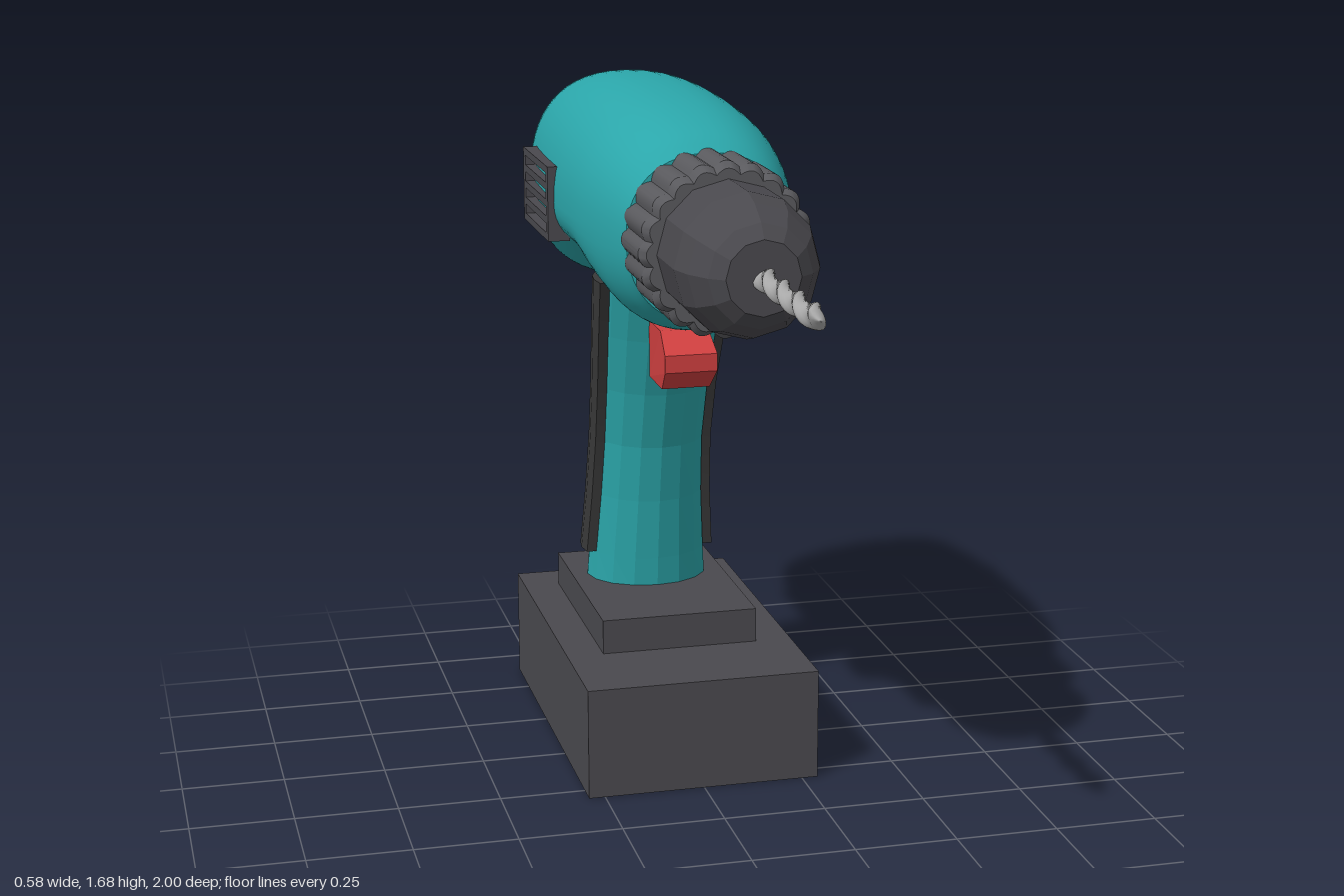
import * as THREE from 'three';
import { toCreasedNormals } from 'three/addons/utils/BufferGeometryUtils.js';

const TEAL = 0x2ba6aa, DARK = 0x4a494e, GRIP = 0x3a3a3a, RED = 0xd04040, STEEL = 0xa8a8a8;
const AXIS_Y = 1.385;

function part(name, geometry, color, flatShading = false) {
  const mesh = new THREE.Mesh(geometry, new THREE.MeshStandardMaterial({ color, flatShading }));
  mesh.name = name;
  return mesh;
}

function box(name, color, x0, x1, y0, y1, z0, z1) {
  const mesh = part(name, new THREE.BoxGeometry(x1 - x0, y1 - y0, z1 - z0), color);
  mesh.position.set((x0 + x1) / 2, (y0 + y1) / 2, (z0 + z1) / 2);
  return mesh;
}

// Skin over closed rings of points (counter-clockwise about the loft direction), with end caps
function loft(rings) {
  const n = rings[0].length, last = rings.length - 1;
  const pos = rings.flat().flatMap(p => p.toArray()), index = [];
  for (let i = 0; i < last; i++) for (let j = 0; j < n; j++) {
    const a = i * n + j, b = i * n + (j + 1) % n;
    index.push(a, b, a + n, b, b + n, a + n);
  }
  for (const end of [0, last]) {
    const start = pos.length / 3;
    const mid = new THREE.Vector3();
    rings[end].forEach(p => { mid.addScaledVector(p, 1 / n); pos.push(p.x, p.y, p.z); });
    pos.push(mid.x, mid.y, mid.z);
    for (let j = 0; j < n; j++) {
      const a = start + j, b = start + (j + 1) % n;
      end ? index.push(a, b, start + n) : index.push(b, a, start + n);
    }
  }
  const geo = new THREE.BufferGeometry();
  geo.setAttribute('position', new THREE.Float32BufferAttribute(pos, 3));
  geo.setIndex(index);
  geo.computeVertexNormals();
  return geo;
}

const ring = (n, fn) => Array.from({ length: n }, (_, j) => fn(j / n * Math.PI * 2));
const spline = pts => new THREE.CatmullRomCurve3(pts.map(p => new THREE.Vector3(...p)), false, 'catmullrom');

// Motor housing: z, top, bottom, half width, from back to front
function housing() {
  const s = [
    [-1.0, 1.595, 1.18, 0.175], [-0.985, 1.615, 1.158, 0.2], [-0.94, 1.633, 1.138, 0.222],
    [-0.82, 1.656, 1.121, 0.248], [-0.7, 1.669, 1.148, 0.26], [-0.6, 1.675, 1.195, 0.265],
    [-0.5, 1.677, 1.232, 0.268], [-0.38, 1.675, 1.24, 0.269], [-0.25, 1.668, 1.233, 0.265],
    [-0.15, 1.658, 1.178, 0.257], [-0.05, 1.64, 1.141, 0.24], [0.03, 1.615, 1.152, 0.218], [0.085, 1.58, 1.18, 0.195]
  ];
  const heights = spline(s.map(p => p.slice(0, 3)));
  const widths = spline(s.map(p => [p[3], 0, 0]));
  const power = v => Math.sign(v) * Math.abs(v) ** (2 / 2.25);
  const rows = 48, rings = [];
  for (let i = 0; i <= rows; i++) {
    const h = heights.getPoint(i / rows), w = widths.getPoint(i / rows).x;
    rings.push(ring(56, a => {
      const up = power(Math.sin(a));
      return new THREE.Vector3(w * power(Math.cos(a)), 1.39 + up * (up > 0 ? h.y - 1.39 : 1.39 - h.z), h.x);
    }));
  }
  return loft(rings);
}

// Handle sections: y, centre z, half width, half depth
const HANDLE = [
  [0.34, -0.586, 0.159, 0.136], [0.44, -0.581, 0.152, 0.142], [0.6, -0.56, 0.141, 0.142], [0.75, -0.532, 0.136, 0.142],
  [0.9, -0.488, 0.139, 0.147], [1.05, -0.432, 0.147, 0.153], [1.2, -0.368, 0.156, 0.163], [1.3, -0.33, 0.16, 0.17]
];

function handle() {
  return loft(HANDLE.map(([y, z, w, d]) =>
    ring(16, a => new THREE.Vector3(w * Math.sin(a), y, z + d * Math.cos(a)))));
}

// Rubber sleeve around the rear half of the handle
function grip() {
  const steps = 14, from = Math.PI * 0.42, sweep = Math.PI * 1.16;
  return toCreasedNormals(loft(HANDLE.slice(1, 7).map(([y, z, w, d]) =>
    Array.from({ length: steps + 1 }, (_, j) => {
      const a = from + sweep * j / steps;
      return new THREE.Vector3((w + 0.021) * Math.sin(a), y, z + (d + 0.033) * Math.cos(a));
    }))), 0.6);
}

// Scalloped clutch ring
function collar() {
  const rows = [[0.06, 0.195], [0.075, 0.205], [0.25, 0.205], [0.27, 0.19]];
  return toCreasedNormals(loft(rows.map(([z, r]) => ring(160, a => {
    const q = r - 0.014 * (1 - Math.abs(Math.cos(a * 10)));
    return new THREE.Vector3(q * Math.cos(a), q * Math.sin(a), z);
  }))), 0.5);
}

// Twisted bit with a pointed tip
function bit() {
  const rings = [];
  for (let i = 0; i <= 64; i++) {
    const z = 0.55 + 0.45 * i / 64, twist = (z - 0.55) * Math.PI / 0.115;
    const taper = Math.min(1, (1.002 - z) / 0.03);
    rings.push(ring(12, a => {
      const x = 0.028 * taper * Math.cos(a), y = 0.016 * taper * Math.sin(a);
      return new THREE.Vector3(x * Math.cos(twist) - y * Math.sin(twist), x * Math.sin(twist) + y * Math.cos(twist), z);
    }));
  }
  return loft(rings);
}

// Vent frame with four slots, drawn in the z-y plane and turned to face sideways
function vent() {
  const rect = (P, x0, x1, y0, y1) => {
    const p = new P();
    p.moveTo(x0, y0).lineTo(x1, y0).lineTo(x1, y1).lineTo(x0, y1).closePath();
    return p;
  };
  const shape = rect(THREE.Shape, -0.162, 0.162, -0.093, 0.093);
  for (let i = 0; i < 4; i++) {
    const y = -0.063 + i * 0.042;
    shape.holes.push(rect(THREE.Path, -0.135, 0.135, y - 0.012, y + 0.012));
  }
  return new THREE.ExtrudeGeometry(shape, { depth: 0.055, bevelEnabled: false });
}

function trigger() {
  const pts = [[0.27, 0.97], [0.27, 1.112], [0.15, 1.112], [0.08, 1.065], [0.08, 1.022], [0.135, 0.97]];
  const shape = new THREE.Shape(pts.map(p => new THREE.Vector2(...p)));
  const geo = new THREE.ExtrudeGeometry(shape, { depth: 0.13, bevelEnabled: false });
  geo.rotateY(Math.PI / 2);
  geo.translate(-0.065, 0, 0);
  // Narrow the top and bottom edges slightly
  const p = geo.attributes.position;
  for (let i = 0; i < p.count; i++) {
    const y = p.getY(i);
    if (y < 1 || y > 1.1) p.setX(i, p.getX(i) * 0.92);
  }
  geo.computeVertexNormals();
  return geo;
}

export function createModel() {
  const model = new THREE.Group();
  model.name = 'cordlessDrill';

  model.add(part('housing', housing(), TEAL));
  model.add(part('handle', handle(), TEAL, true));
  model.add(part('rubberGrip', grip(), GRIP));

  // Battery pack
  model.add(box('battery', DARK, -0.29, 0.29, 0, 0.278, -0.888, 0.052));
  model.add(box('batteryMount', DARK, -0.198, 0.198, 0.278, 0.365, -0.778, -0.2));

  // Chuck, clutch ring and bit share one axis
  const front = new THREE.Group();
  front.name = 'chuckAssembly';
  front.position.y = AXIS_Y;
  const profile = [[0, 0.2], [0.166, 0.2], [0.166, 0.43], [0.15, 0.49], [0.118, 0.545], [0.085, 0.572], [0, 0.572]];
  const chuck = new THREE.LatheGeometry(profile.map(p => new THREE.Vector2(...p)), 12);
  chuck.rotateX(Math.PI / 2);
  front.add(part('chuck', chuck, DARK, true));
  front.add(part('clutchRing', collar(), 0x5a5a5e));
  front.add(part('drillBit', bit(), STEEL));
  model.add(front);

  // Trigger and direction switch
  const trig = part('trigger', trigger(), RED);
  model.add(trig);
  model.add(box('directionSwitch', RED, -0.06, 0.06, 1.155, 1.25, -0.27, -0.193));

  for (const side of [1, -1]) {
    const v = part(side > 0 ? 'leftVent' : 'rightVent', vent(), DARK);
    v.rotation.y = side * Math.PI / 2;
    v.position.set(side * 0.229, 1.387, -0.562);
    model.add(v);
  }
  return model;
}
